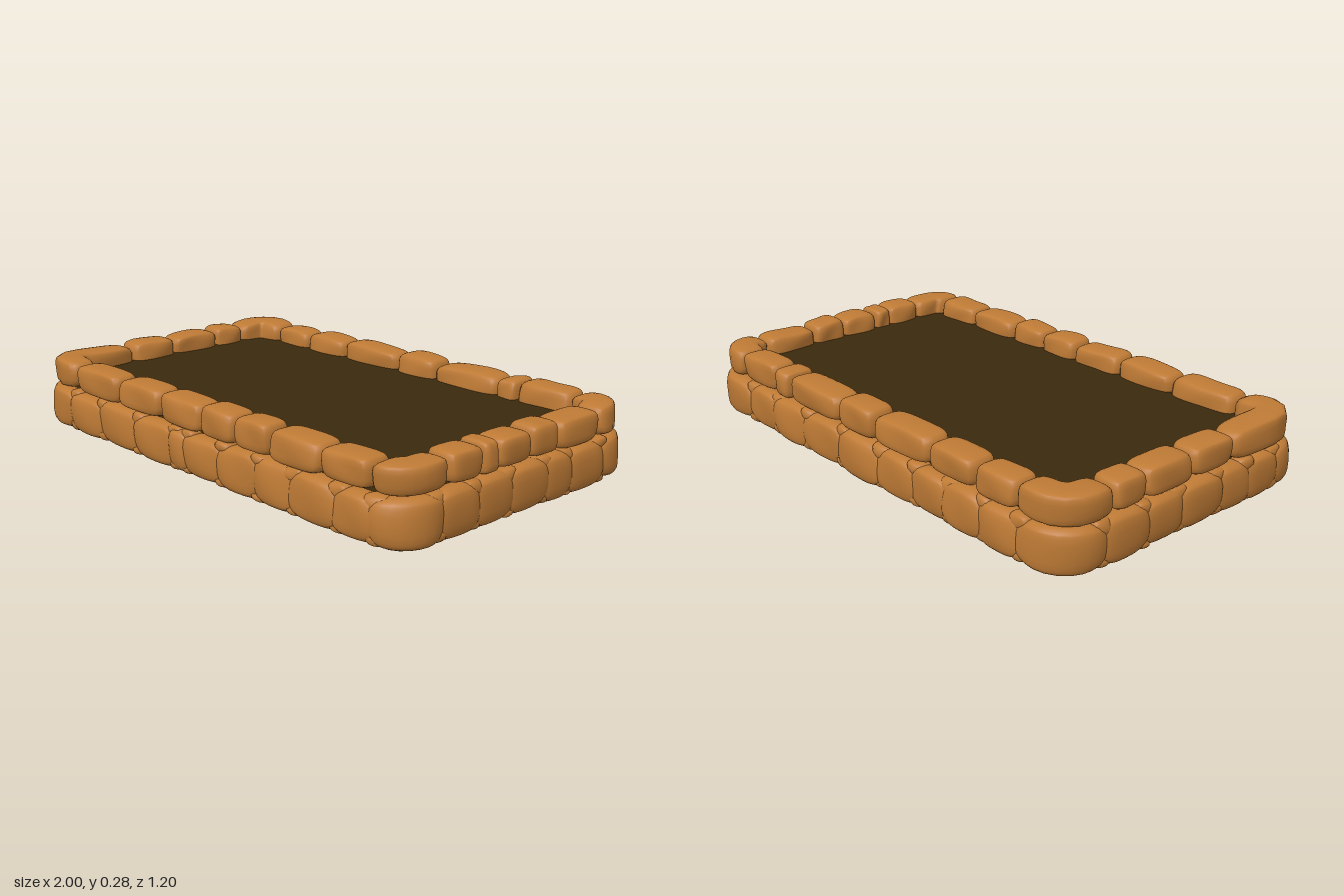
import * as THREE from 'three';
import { mergeVertices } from 'three/addons/utils/BufferGeometryUtils.js';

// small seeded random, returns -1..1
let seed = 11;
const rnd = () => {
  seed = (seed * 16807) % 2147483647;
  return (seed / 2147483647) * 2 - 1;
};

// rounded-rectangle loop, walked front, right, back, left
function makeLoop(hx, hz, r) {
  const arc = Math.PI * r / 2;
  const sides = [];
  let start = 0, n = new THREE.Vector2(0, 1), d = new THREE.Vector2(1, 0);
  for (let k = 0; k < 4; k++) {
    const h = k % 2 ? hx : hz, l = (k % 2 ? hz : hx) - r;
    sides.push({ n, d, h, l, start });
    start += 2 * l + arc;
    [n, d] = [d, n.clone().negate()];
  }
  const total = start;
  // distance along the loop of a coordinate on side k
  const dist = (k, c) => sides[k].start + sides[k].l + c;
  // position and outward direction at a distance
  const at = (s) => {
    s = ((s % total) + total) % total;
    const q = sides.findLast((e) => e.start <= s + 1e-9);
    const t = s - q.start;
    if (t <= 2 * q.l) {
      return { p: q.n.clone().multiplyScalar(q.h).addScaledVector(q.d, t - q.l), n: q.n };
    }
    const a = (t - 2 * q.l) / r;
    const out = q.n.clone().multiplyScalar(Math.cos(a)).addScaledVector(q.d, Math.sin(a));
    const p = q.n.clone().multiplyScalar(q.h - r).addScaledVector(q.d, q.l).addScaledVector(out, r);
    return { p, n: out };
  };
  return { at, dist, total };
}

// one rounded stone bent along the loop; power sets how boxy it is
function stoneGeometry(loop, s0, s1, y0, y1, depth, power, [along, across] = [14, 8]) {
  const geo = new THREE.BoxGeometry(2, 2, 2, along, across, across);
  geo.deleteAttribute('uv');
  geo.deleteAttribute('normal');
  const pos = geo.attributes.position, v = new THREE.Vector3();
  const phase = rnd() * 3, lean = rnd() * 0.004, tilt = rnd() * 0.003;
  for (let i = 0; i < pos.count; i++) {
    v.fromBufferAttribute(pos, i);
    // crowd the samples towards the edges, then round them off
    v.set(...v.toArray().map((c) => Math.sin(c * Math.PI / 2)));
    const norm = v.toArray().reduce((a, c) => a + Math.abs(c) ** power, 0) ** (1 / power);
    v.divideScalar(norm);
    const { p, n } = loop.at((s0 + s1) / 2 + v.x * (s1 - s0) / 2);
    const wave = 0.003 * Math.sin(v.x * 3 + v.y * 2 + phase);
    const o = v.z * depth + wave + lean * v.y;
    const y = (y0 + y1) / 2 + v.y * (y1 - y0) / 2 + wave * 0.5 + tilt * v.x;
    pos.setXYZ(i, p.x + n.x * o, Math.max(y, 0), p.y + n.y * o);
  }
  const out = mergeVertices(geo, 1e-5);
  out.computeVertexNormals();
  return out;
}

// sheet through four corners, given in order around the edge
function sheetGeometry(corners) {
  const geo = new THREE.BufferGeometry();
  geo.setAttribute('position', new THREE.Float32BufferAttribute(corners.flat(), 3));
  geo.setIndex([0, 1, 3, 1, 2, 3]);
  geo.computeVertexNormals();
  return geo;
}

// seams between stones, listed in walking order for front, right, back, left
const rimSeams = [
  [-0.75, -0.47, -0.21, 0.02, 0.2, 0.375, 0.62, 0.83],
  [-0.35, -0.2, -0.125, 0.035, 0.18, 0.4],
  [-0.79, -0.56, -0.47, -0.16, 0.04, 0.34, 0.56, 0.75],
  [-0.35, -0.21, 0.01, 0.21],
];
const wallSeams = [
  [-0.76, -0.57, -0.34, -0.12, -0.05, 0.14, 0.33, 0.5, 0.7, 0.85],
  [-0.4, -0.24, -0.08, 0.1, 0.22, 0.4],
  [-0.72, -0.55, -0.36, -0.14, 0.08, 0.27, 0.44, 0.6, 0.77],
  [-0.4, -0.22, -0.06, 0.13, 0.28, 0.42],
];
// start and end distance of every stone in a ring
function spans(loop, seams) {
  const s = seams.flatMap((list, k) => list.map((c) => loop.dist(k, c)));
  return s.map((a, i) => [a, i + 1 < s.length ? s[i + 1] : s[0] + loop.total]);
}

export function createModel() {
  seed = 11;
  const stone = new THREE.MeshStandardMaterial({ color: 0xbe7a35 });
  stone.name = 'warm stone';
  const soil = new THREE.MeshStandardMaterial({ color: 0x3a290c, side: THREE.DoubleSide });
  soil.name = 'dark soil';

  const model = new THREE.Group();
  model.name = 'stonePlanterBed';
  const group = (name) => {
    const g = new THREE.Group();
    g.name = name;
    model.add(g);
    return g;
  };
  const add = (parent, name, geo, material = stone) => {
    const m = new THREE.Mesh(geo, material);
    m.name = name;
    parent.add(m);
  };

  // capping stones around the rim, corner stones wrap the corners
  const rim = group('rimStones');
  const rimLoop = makeLoop(0.912, 0.513, 0.075);
  for (const [a, b] of spans(rimLoop, rimSeams)) {
    add(rim, 'rimStone', stoneGeometry(rimLoop, a, b, 0.172 + rnd() * 0.004,
      0.28 + rnd() * 0.005, 0.063 + rnd() * 0.003, 4.2));
  }

  // bulging wall stones below, overlapping into each other
  const wall = group('wallStones');
  const wallLoop = makeLoop(0.945, 0.545, 0.11);
  const lap = 0.028, small = [6, 6];
  for (const [a, b] of spans(wallLoop, wallSeams)) {
    add(wall, 'wallStone', stoneGeometry(wallLoop, a - lap, b + lap, 0.012 + rnd() * 0.004,
      0.172 + rnd() * 0.005, 0.048 + rnd() * 0.004, 3));
    // small filler stones wedged at the seams
    add(wall, 'fillerStone', stoneGeometry(wallLoop, a - 0.045, a + 0.045,
      0.12 + rnd() * 0.01, 0.178, 0.035, 2.3, small));
    add(wall, 'fillerStone', stoneGeometry(wallLoop, a - 0.035, a + 0.035,
      0.012, 0.06 + rnd() * 0.01, 0.037, 2.3, small));
  }

  // soil surface tucked into the rim, and the sheet under it with one raised corner
  const bed = group('soilBed');
  add(bed, 'soilSurface', sheetGeometry([
    [-0.92, 0.21, 0.52], [0.92, 0.21, 0.52], [0.92, 0.21, -0.52], [-0.92, 0.21, -0.52],
  ]), soil);
  add(bed, 'soilUnderside', sheetGeometry([
    [-0.93, 0.18, 0.53], [-0.93, 0.02, -0.53], [0.93, 0.02, -0.53], [0.94, 0.02, 0.54],
  ]), soil);
  return model;
}
